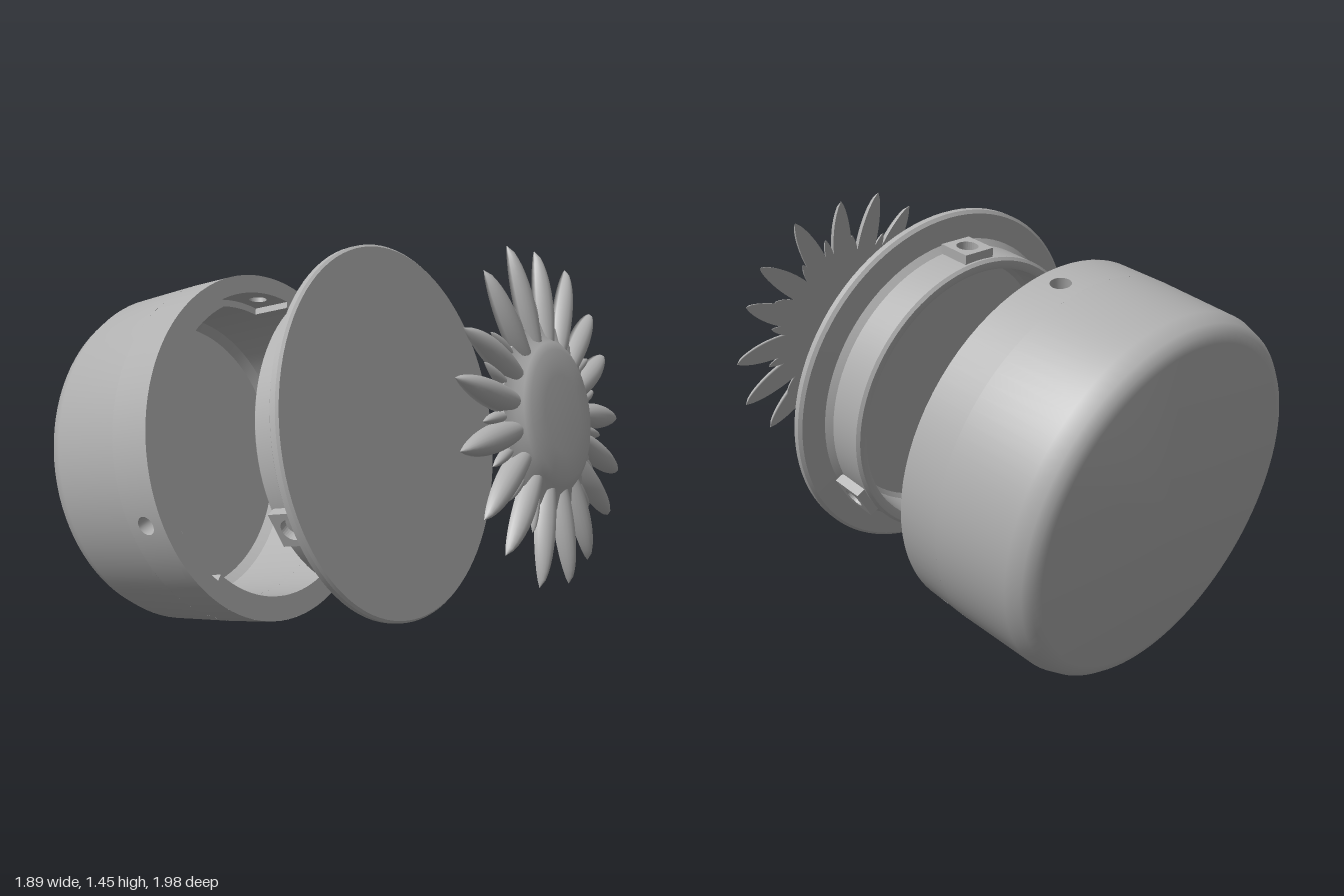
import * as THREE from 'three';
import { toCreasedNormals } from 'three/addons/utils/BufferGeometryUtils.js';
import { ParametricGeometry } from 'three/addons/geometries/ParametricGeometry.js';

const TAU = Math.PI * 2;
const rad = THREE.MathUtils.degToRad;
const grey = new THREE.MeshStandardMaterial({ color: 0xb0b0b0, side: THREE.DoubleSide });
grey.name = 'plain grey';

function add(parent, geometry, name) {
  const mesh = new THREE.Mesh(geometry, grey);
  mesh.name = name;
  parent.add(mesh);
  return mesh;
}

// Turned part around the z axis; points are [radius, z]
function turned(points, segments = 96) {
  const g = new THREE.LatheGeometry(points.map(([r, z]) => new THREE.Vector2(r, z)), segments);
  g.rotateX(Math.PI / 2);
  return toCreasedNormals(g, rad(35));
}

// Surface given in cylinder coordinates: fn(u, v) returns [radius, angle, z]
function curved(fn, nu, nv) {
  return new ParametricGeometry((u, v, p) => {
    const [r, a, z] = fn(u, v);
    p.set(r * Math.cos(a), r * Math.sin(a), z);
  }, nu, nv);
}

const mix = THREE.MathUtils.lerp;

// Wall strip between two angles
const strip = (r, a0, a1, z0, z1) => curved((u, v) => [r, mix(a0, a1, u), mix(z0, z1, v)], 24, 1);
// Flat ring sector facing +z
const sector = (r0, r1, a0, a1, z) => curved((u, v) => [mix(r1, r0, v), mix(a0, a1, u), z], 24, 1);
// Radial step between two radii
const step = (r0, r1, a, z0, z1) => curved((u, v) => [mix(r0, r1, u), a, mix(z0, z1, v)], 1, 1);

// Square wall patch around a round hole
function holePatch(r, a, z, hole, half, turn) {
  return curved((u, v) => {
    const t = turn * u * TAU, c = Math.cos(t), s = Math.sin(t);
    const d = mix(hole, half / Math.max(Math.abs(c), Math.abs(s)), v);
    return [r, a + d * c / r, z + d * s];
  }, 32, 3);
}

// Cup with three screw holes and three slots inside the rim
function makeBase() {
  const base = new THREE.Group();
  base.name = 'base';
  const R = 0.64, slotR = 0.575, inR = 0.55, bottom = -0.16, half = 0.08, hole = 0.034;
  add(base, turned([[0, -0.53], [0.56, -0.53], [0.59, -0.522], [0.612, -0.5], [0.63, -0.45], [R, bottom]]), 'outerShell');
  add(base, turned([[slotR, bottom], [inR, bottom], [inR, -0.42], [0.52, -0.45], [0, -0.45]]), 'innerShell');
  for (let i = 0; i < 3; i++) {
    const a = rad(75 + i * 120), z = bottom + half;
    const slot0 = a - half / slotR, slot1 = a + rad(30), next = slot0 + TAU / 3;
    const out1 = a + half / R, outNext = a - half / R + TAU / 3;
    add(base, holePatch(R, a, z, hole, half, -1), 'outerHoleWall');
    add(base, holePatch(slotR, a, z, hole, half, 1), 'innerHoleWall');
    add(base, curved((u, v) => {
      const t = -u * TAU, r = mix(slotR, R, v);
      return [r, a + hole * Math.cos(t) / r, z + hole * Math.sin(t)];
    }, 32, 1), 'screwHole');
    add(base, strip(R, out1, outNext, bottom, 0), 'outerRimWall');
    add(base, strip(slotR, slot1, a + half / slotR, bottom, 0), 'slotWall');
    add(base, strip(inR, next, slot1, bottom, 0), 'innerRimWall');
    add(base, step(inR, slotR, slot0, bottom, 0), 'slotStart');
    add(base, step(slotR, inR, slot1, bottom, 0), 'slotEnd');
    add(base, sector(slotR, R, slot0, slot1, 0), 'slotRim');
    add(base, sector(inR, R, slot1, next, 0), 'rim');
  }
  return base;
}

// Disc with a hollow plug behind it and three square screw bosses
function makeLid() {
  const lid = new THREE.Group();
  lid.name = 'lid';
  add(lid, turned([
    [0, -0.045], [0.46, -0.045], [0.475, -0.06], [0.485, -0.195], [0.495, -0.2],
    [0.515, -0.2], [0.525, -0.19], [0.525, -0.065], [0.545, -0.045],
    [0.632, -0.038], [0.643, -0.028], [0.643, -0.008], [0.635, 0], [0, 0],
  ]), 'discAndPlug');

  const square = new THREE.Shape();
  const h = 0.062;
  square.moveTo(-h, -h).lineTo(h, -h).lineTo(h, h).lineTo(-h, h).closePath();
  const round = new THREE.Path();
  round.absarc(0, 0, 0.038, 0, TAU, true);
  square.holes.push(round);
  const bossGeometry = new THREE.ExtrudeGeometry(square, { depth: 0.045, bevelEnabled: false, curveSegments: 16 });
  bossGeometry.rotateY(Math.PI / 2).translate(0.51, 0, -0.12);
  for (let i = 0; i < 3; i++) {
    add(lid, bossGeometry, 'screwBoss').rotation.z = rad(84 + i * 120);
  }
  return lid;
}

// Tapered flame with a flat back, pointing along +y
function flame(r0, r1, width, height, bend) {
  return new ParametricGeometry((u, v, p) => {
    const t = -u * TAU;
    const w = width * Math.pow(1 - v, 0.8) * (0.55 + 1.6 * v);
    const h = height * Math.pow(1 - v, 0.6) * (0.6 + 0.9 * v);
    p.set(w * Math.cos(t) + bend * v * v, mix(r0, r1, v), h * Math.max(0, Math.sin(t)));
  }, 20, 14);
}

// Sun ornament: raised centre, long rays and short rays between them
function makeSun() {
  const sun = new THREE.Group();
  sun.name = 'sun';
  add(sun, turned([
    [0, 0], [0.3, 0], [0.29, 0.018], [0.245, 0.03], [0.225, 0.048],
    [0.2, 0.06], [0.12, 0.064], [0, 0.066],
  ], 68), 'sunCentre');
  const rays = 17;
  for (let i = 0; i < rays; i++) {
    const a = rad(8.8) + i * TAU / rays;
    const lean = 0.022 * Math.sin(i * 2.3);
    const length = 0.525 + 0.012 * Math.cos(i * 1.7);
    add(sun, flame(0.2, length, 0.054, 0.066, lean), 'longRay').rotation.z = a;
    add(sun, flame(0.24, 0.385 + 0.02 * Math.sin(i * 3.1), 0.024, 0.03, -lean), 'shortRay')
      .rotation.z = a + Math.PI / rays;
  }
  return sun;
}

export function createModel() {
  const model = new THREE.Group();
  model.name = 'explodedSunBox';

  // All parts share one tilted axis
  const parts = new THREE.Group();
  parts.name = 'parts';
  const axis = new THREE.Vector3(0.62, 0.2, 0.76).normalize();
  const side = new THREE.Vector3(0, 1, 0).cross(axis).normalize();
  const up = axis.clone().cross(side);
  parts.quaternion.setFromRotationMatrix(new THREE.Matrix4().makeBasis(side, up, axis));
  parts.position.set(-0.17, 0.705, -0.235);

  const lid = makeLid();
  lid.position.z = 0.565;
  const sun = makeSun();
  sun.position.set(-0.01, 0, 1.115);
  parts.add(makeBase(), lid, sun);
  model.add(parts);
  return model;
}
